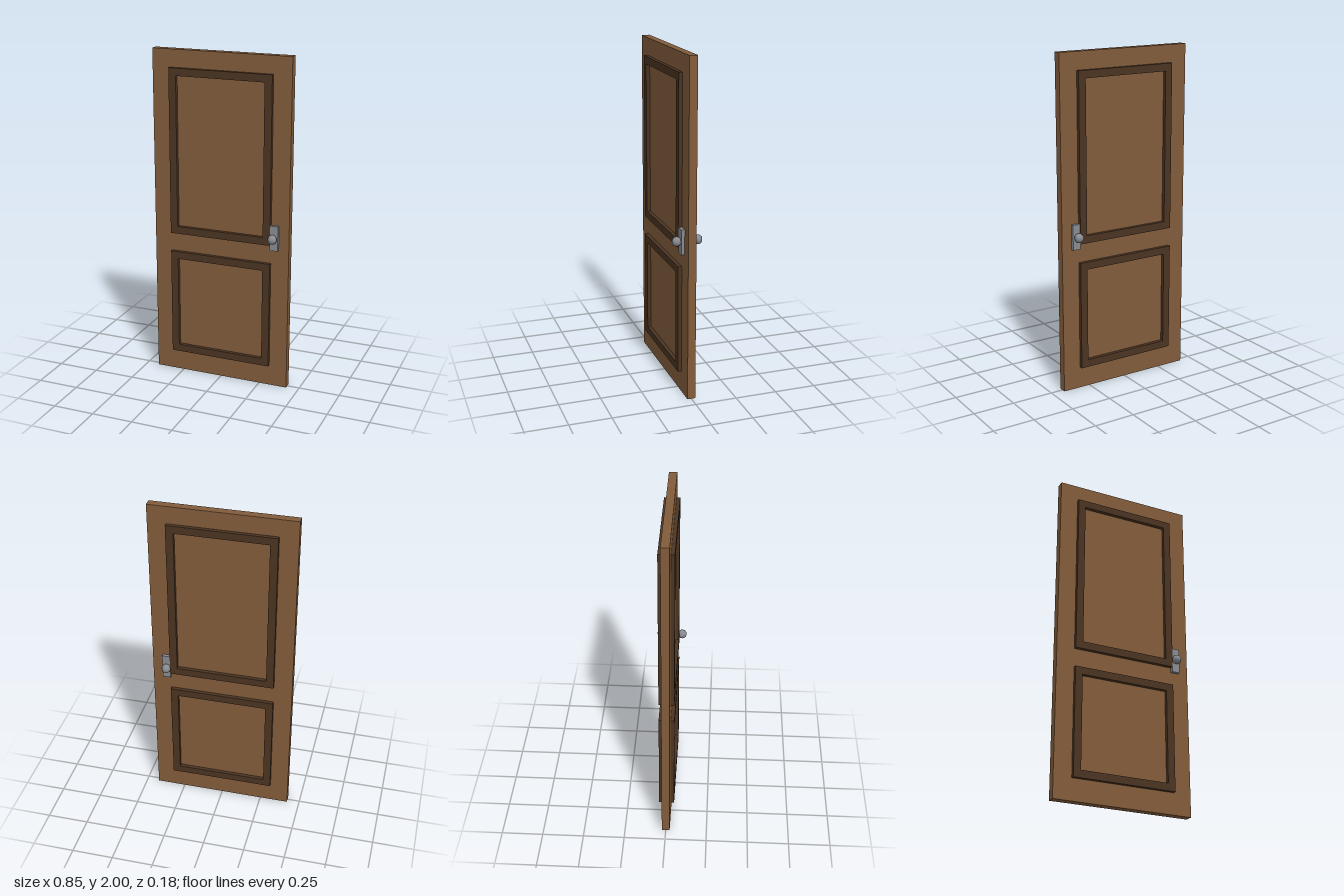
import * as THREE from 'three';

const wood = new THREE.MeshStandardMaterial({ name: 'wood', color: 0x825c3b });
const darkWood = new THREE.MeshStandardMaterial({ name: 'dark wood', color: 0x4b3422 });
const metal = new THREE.MeshStandardMaterial({ name: 'metal', color: 0x888b91 });

const HALF = 0.024; // half thickness of the door leaf

function add(parent, name, geometry, material, x, y, z) {
  const mesh = new THREE.Mesh(geometry, material);
  mesh.name = name;
  mesh.position.set(x, y, z);
  parent.add(mesh);
  return mesh;
}

// Rectangular moulding with an open centre, standing proud of the leaf
function mouldingGeometry(width, bottom, top, border, depth) {
  const w = width / 2, i = w - border;
  const shape = new THREE.Shape([
    new THREE.Vector2(-w, bottom), new THREE.Vector2(w, bottom),
    new THREE.Vector2(w, top), new THREE.Vector2(-w, top),
  ]);
  shape.holes.push(new THREE.Path([
    new THREE.Vector2(-i, bottom + border), new THREE.Vector2(-i, top - border),
    new THREE.Vector2(i, top - border), new THREE.Vector2(i, bottom + border),
  ]));
  return new THREE.ExtrudeGeometry(shape, { depth, bevelEnabled: false });
}

export function createModel() {
  const door = new THREE.Group();
  door.name = 'door';

  // Door leaf
  add(door, 'leaf', new THREE.BoxGeometry(0.848, 2, HALF * 2), wood, 0, 1, 0);

  // Mouldings and handle, the same on both faces
  const depth = 0.022;
  const upper = mouldingGeometry(0.63, 0.9, 1.896, 0.045, depth);
  const lower = mouldingGeometry(0.63, 0.13, 0.785, 0.045, depth);
  const plate = new THREE.BoxGeometry(0.049, 0.15, 0.02);
  const knob = new THREE.SphereGeometry(0.028, 8, 8);

  for (const [side, s] of [['front', 1], ['back', -1]]) {
    const z = s > 0 ? HALF : -HALF - depth;
    add(door, side + 'UpperMoulding', upper, darkWood, 0, 0, z);
    add(door, side + 'LowerMoulding', lower, darkWood, 0, 0, z);
    add(door, side + 'HandlePlate', plate, metal, 0.3375, 0.945, s * 0.034);
    add(door, side + 'Knob', knob, metal, 0.334, 0.945, s * 0.063);
  }
  return door;
}
